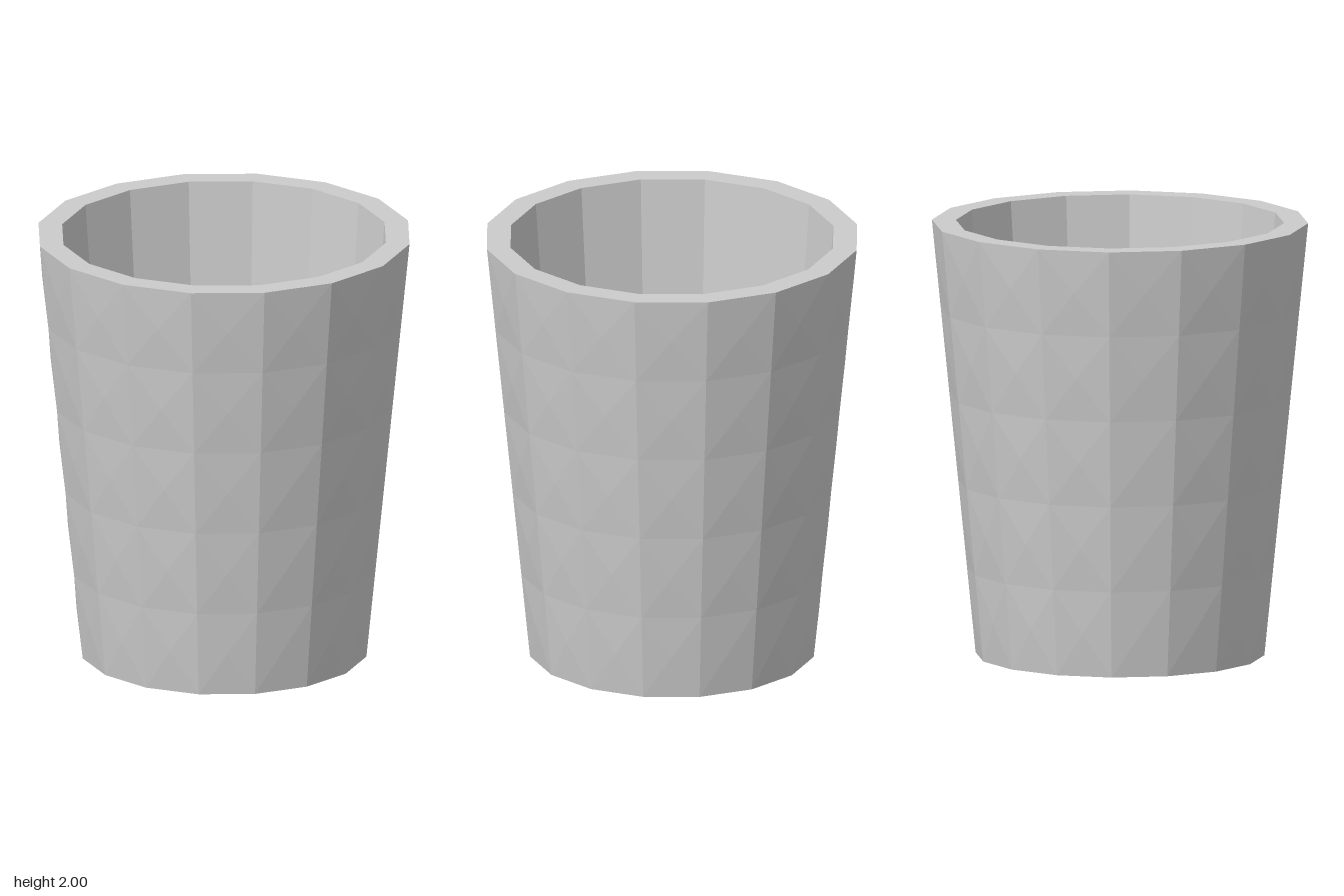
import * as THREE from 'three';

const SIDES = 16, ROWS = 5, HEIGHT = 2;
const BASE_R = 0.66, TOP_R = 0.86, BULGE = 0.006;

const material = new THREE.MeshStandardMaterial({ color: 0xcccccc, flatShading: true });

// Point on the tapered outer wall at a given side and row
function wallPoint(side, row) {
  const a = (side / SIDES) * Math.PI * 2, t = row / ROWS;
  const r = BASE_R + (TOP_R - BASE_R) * t;
  return new THREE.Vector3(Math.sin(a) * r, HEIGHT * t, Math.cos(a) * r);
}

// Outer wall: every panel is a very shallow four-sided pyramid
function outerWall() {
  const points = [];
  for (let row = 0; row < ROWS; row++) {
    for (let side = 0; side < SIDES; side++) {
      const corners = [
        wallPoint(side, row), wallPoint(side + 1, row),
        wallPoint(side + 1, row + 1), wallPoint(side, row + 1),
      ];
      const centre = new THREE.Vector3();
      corners.forEach((c) => centre.addScaledVector(c, 0.25));
      const out = new THREE.Vector3(centre.x, 0, centre.z).normalize();
      centre.addScaledVector(out, BULGE);
      corners.forEach((c, i) => points.push(c, corners[(i + 1) % 4], centre));
    }
  }
  const geometry = new THREE.BufferGeometry().setFromPoints(points);
  geometry.computeVertexNormals();
  return geometry;
}

// Faceted surface of revolution from [radius, height] pairs
function turned(profile) {
  return new THREE.LatheGeometry(profile.map(([r, y]) => new THREE.Vector2(r, y)), SIDES);
}

export function createModel() {
  const cup = new THREE.Group();
  cup.name = 'cup';
  const add = (name, geometry) => {
    const mesh = new THREE.Mesh(geometry, material);
    mesh.name = name;
    cup.add(mesh);
  };

  add('outerWall', outerWall());
  add('base', turned([[0, 0], [BASE_R, 0]]));
  add('rim', turned([[TOP_R, HEIGHT], [0.75, HEIGHT]]));
  add('innerWall', turned([[0.75, HEIGHT], [0.605, 0.12]]));
  add('innerFloor', turned([[0.605, 0.12], [0, 0.12]]));

  return cup;
}
